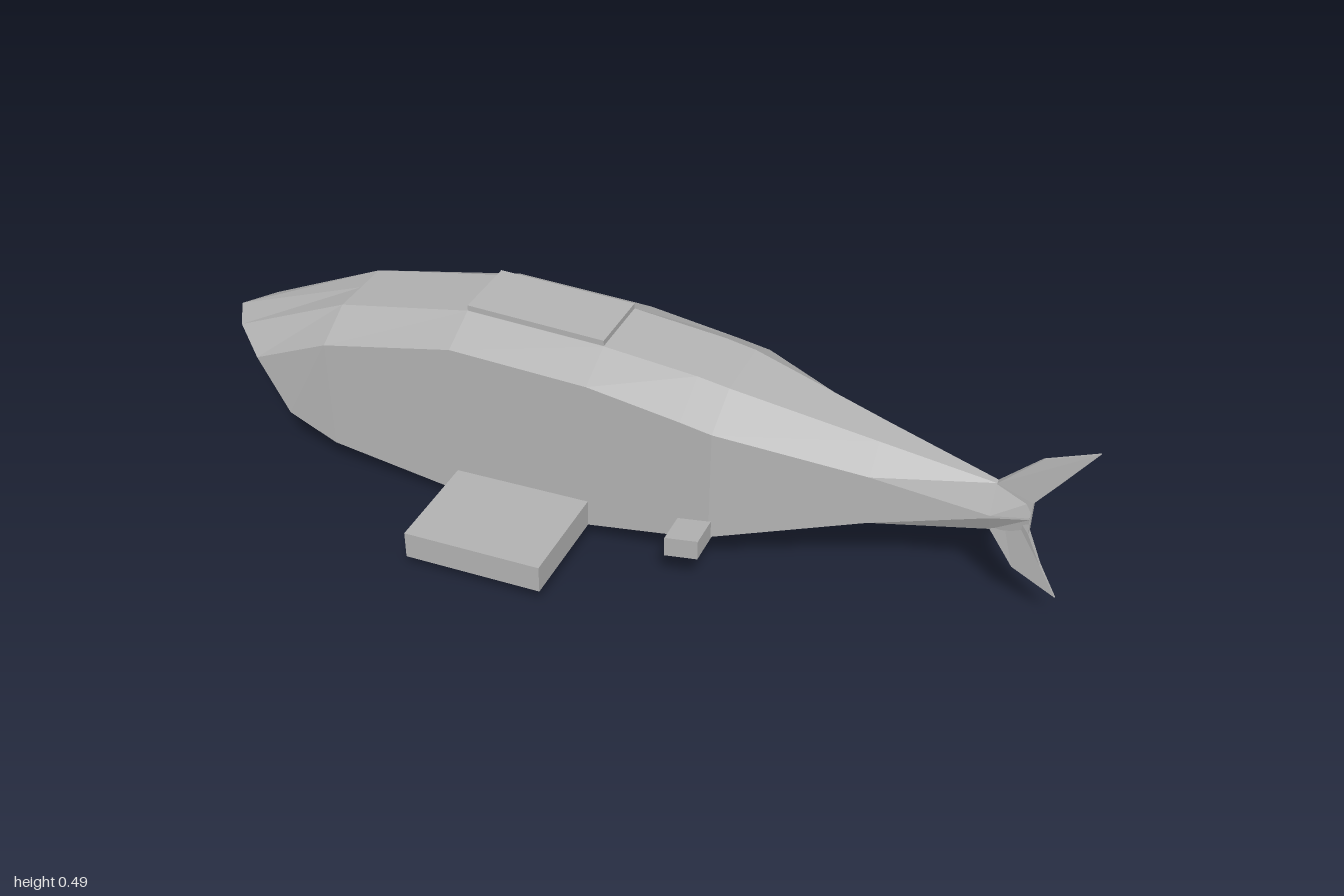
import * as THREE from 'three';

const grey = new THREE.MeshStandardMaterial({ color: 0xb4b4b4, flatShading: true });
grey.name = 'grey';

// Half of an eight-sided section, from top centre down the left side to bottom centre
const section = (x, top, topZ, shoulder, low, sideZ, bottom, bottomZ) => [
  [x, top, 0], [x, top, topZ], [x, shoulder, sideZ],
  [x, low, sideZ], [x, bottom, bottomZ], [x, bottom, 0],
];

function bodyGeometry() {
  const halves = [
    // slanted muzzle rim
    [[-1, 0.265, 0], [-0.95, 0.265, 0.075], [-0.86, 0.245, 0.15],
      [-0.78, 0.12, 0.16], [-0.86, 0.092, 0.08], [-0.87, 0.09, 0]],
    section(-0.66, 0.4, 0.078, 0.345, 0.075, 0.165, 0.043, 0.085),
    section(-0.34, 0.472, 0.078, 0.425, 0.04, 0.165, 0, 0.085),
    section(-0.02, 0.472, 0.078, 0.425, 0.055, 0.165, 0, 0.085),
    section(0.19, 0.457, 0.076, 0.4, 0.1, 0.165, 0.06, 0.083),
    section(0.26, 0.447, 0.075, 0.39, 0.12, 0.165, 0.08, 0.08),
    section(0.57, 0.383, 0.035, 0.325, 0.205, 0.083, 0.172, 0.04),
    section(0.81, 0.335, 0.006, 0.268, 0.262, 0.03, 0.215, 0.006),
    section(0.885, 0.31, 0.004, 0.272, 0.268, 0.01, 0.23, 0.004),
  ];
  const rings = halves.map((h) => [
    ...h, ...h.slice(1, 5).reverse().map(([x, y, z]) => [x, y, -z]),
  ]);
  const n = rings[0].length;
  const pos = rings.flat(2);
  const index = [];
  for (let s = 0; s < rings.length - 1; s++) {
    for (let k = 0; k < n; k++) {
      const a = s * n + k, b = s * n + (k + 1) % n;
      index.push(a, b, a + n, b, b + n, a + n);
    }
  }
  // close the muzzle and the tail root
  const nose = rings.length * n, last = nose - n;
  pos.push(-0.925, 0.18, 0, 0.885, 0.27, 0);
  for (let k = 0; k < n; k++) {
    const next = (k + 1) % n;
    index.push(nose, next, k, nose + 1, last + k, last + next);
  }
  const g = new THREE.BufferGeometry();
  g.setAttribute('position', new THREE.Float32BufferAttribute(pos, 3));
  g.setIndex(index);
  g.computeVertexNormals();
  return g;
}

// Thin forked tail, thinning towards the tips
function tailGeometry() {
  const outline = [
    [0.81, 0.335], [0.81, 0.215], [0.865, 0.13], [0.962, 0.08], [0.92, 0.155],
    [0.887, 0.23], [0.887, 0.31], [0.93, 0.37], [0.995, 0.465], [0.89, 0.418],
  ].map(([x, y]) => new THREE.Vector2(x, y));
  const g = new THREE.ExtrudeGeometry(new THREE.Shape(outline), { depth: 1, bevelEnabled: false });
  const p = g.attributes.position;
  for (let i = 0; i < p.count; i++) {
    const half = Math.max(0.002, 0.01 - 0.05 * Math.abs(p.getY(i) - 0.27));
    p.setZ(i, (p.getZ(i) * 2 - 1) * half);
  }
  g.computeVertexNormals();
  return g;
}

// Box whose far end (+x) is raised
function slopedBox(x0, x1, y0, y1, z0, z1, rise) {
  const g = new THREE.BoxGeometry(x1 - x0, y1 - y0, z1 - z0);
  g.translate((x0 + x1) / 2, (y0 + y1) / 2, (z0 + z1) / 2);
  const p = g.attributes.position;
  for (let i = 0; i < p.count; i++) {
    p.setY(i, p.getY(i) + rise * (p.getX(i) - x0) / (x1 - x0));
  }
  g.computeVertexNormals();
  return g;
}

export function createModel() {
  const model = new THREE.Group();
  model.name = 'whale';
  const add = (name, geometry) => {
    const m = new THREE.Mesh(geometry, grey);
    m.name = name;
    model.add(m);
  };
  add('body', bodyGeometry());
  add('tailFin', tailGeometry());
  add('backPlate', slopedBox(-0.34, -0.02, 0.46, 0.485, -0.077, 0.077, 0));
  for (const side of [-1, 1]) {
    const span = (a, b) => (side > 0 ? [a, b] : [-b, -a]);
    const word = side > 0 ? 'front' : 'back';
    add(word + 'Flipper', slopedBox(-0.34, -0.02, 0.035, 0.1, ...span(0.14, 0.4), 0.02));
    add(word + 'SmallFin', slopedBox(0.19, 0.265, 0.1, 0.148, ...span(0.14, 0.235), 0.016));
  }
  return model;
}
